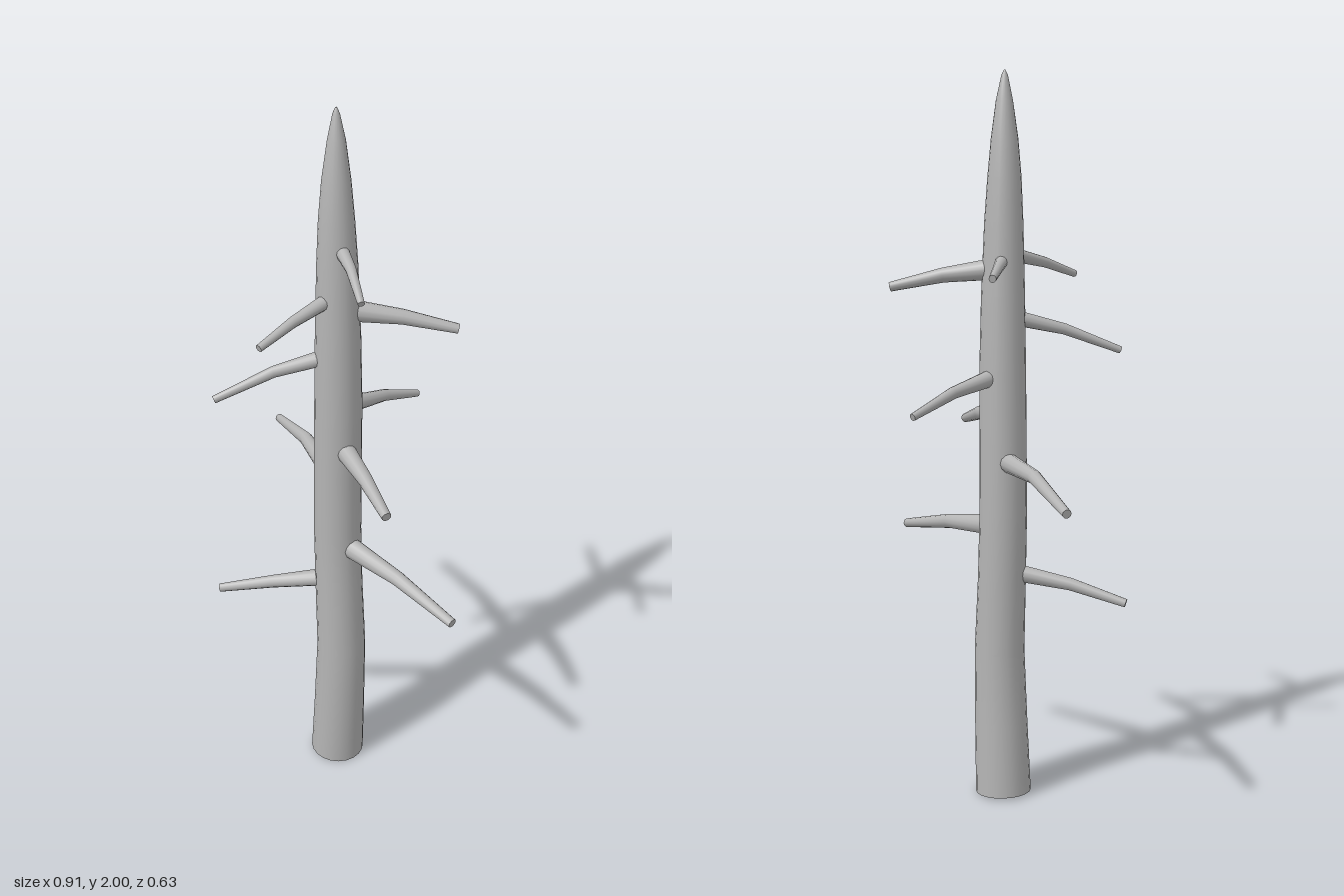
import * as THREE from 'three';

// Tapered limb: rings [x, y, z, radius] skinned smoothly, with flat end caps
function limb(rings, sides, ref, material) {
  const centres = rings.map(([x, y, z]) => new THREE.Vector3(x, y, z));
  const pos = [], idx = [], last = rings.length - 1;
  const addRing = (i) => {
    const dir = centres[Math.min(i + 1, last)].clone().sub(centres[Math.max(i - 1, 0)]).normalize();
    const u = dir.clone().cross(ref).normalize();
    const v = dir.clone().cross(u);
    const start = pos.length / 3;
    for (let j = 0; j < sides; j++) {
      const a = (j / sides) * Math.PI * 2;
      const p = centres[i].clone()
        .addScaledVector(u, Math.cos(a) * rings[i][3])
        .addScaledVector(v, Math.sin(a) * rings[i][3]);
      pos.push(p.x, p.y, p.z);
    }
    return start;
  };
  const starts = rings.map((_, i) => addRing(i));
  for (let i = 0; i < last; i++) {
    for (let j = 0; j < sides; j++) {
      const k = (j + 1) % sides, a = starts[i], b = starts[i + 1];
      idx.push(a + j, a + k, b + k, a + j, b + k, b + j);
    }
  }
  for (const end of [0, last]) {
    const s = addRing(end), c = pos.length / 3;
    pos.push(...centres[end].toArray());
    for (let j = 0; j < sides; j++) {
      const k = (j + 1) % sides;
      if (end) idx.push(c, s + j, s + k);
      else idx.push(c, s + k, s + j);
    }
  }
  const geo = new THREE.BufferGeometry();
  geo.setAttribute('position', new THREE.Float32BufferAttribute(pos, 3));
  geo.setIndex(idx);
  geo.computeVertexNormals();
  return new THREE.Mesh(geo, material);
}

export function createModel() {
  const group = new THREE.Group();
  const bark = new THREE.MeshStandardMaterial({ color: 0xb4b4b4 });
  bark.name = 'grey bark';

  // Slightly crooked trunk running up to a pointed tip
  const trunk = limb([
    [0.018, 0, 0.013, 0.078],
    [0.028, 0.2, 0.013, 0.074],
    [0.036, 0.41, 0.013, 0.07],
    [0.026, 0.62, 0.014, 0.067],
    [0.02, 0.8, 0.014, 0.066],
    [0.022, 1.0, 0.015, 0.065],
    [0.024, 1.2, 0.015, 0.064],
    [0.025, 1.4, 0.017, 0.06],
    [0.023, 1.6, 0.018, 0.053],
    [0.02, 1.72, 0.018, 0.046],
    [0.018, 1.82, 0.017, 0.037],
    [0.016, 1.92, 0.015, 0.023],
    [0.015, 1.985, 0.015, 0.009],
    [0.015, 2, 0.015, 0.002],
  ], 20, new THREE.Vector3(0, 0, 1), bark);
  trunk.name = 'trunk';
  group.add(trunk);

  // Bare branches: base height, bend, tip, base radius, tip radius
  const branches = [
    [0.64, [-0.11, 0.605, 0.15], [-0.23, 0.56, 0.25], 0.027, 0.012],
    [0.765, [0.25, 0.745, -0.01], [0.455, 0.708, -0.025], 0.032, 0.013],
    [0.95, [-0.23, 0.945, -0.07], [-0.453, 0.89, -0.14], 0.029, 0.012],
    [1.085, [0.19, 1.063, 0.06], [0.325, 1.03, 0.1], 0.03, 0.013],
    [1.19, [-0.005, 1.15, -0.17], [-0.027, 1.098, -0.312], 0.026, 0.01],
    [1.35, [-0.06, 1.31, 0.165], [-0.125, 1.25, 0.31], 0.023, 0.01],
    [1.52, [0.035, 1.49, 0.17], [0.045, 1.457, 0.283], 0.021, 0.01],
    [1.477, [0.13, 1.457, -0.11], [0.224, 1.425, -0.22], 0.031, 0.013],
    [1.5, [-0.09, 1.477, -0.085], [-0.168, 1.455, -0.158], 0.019, 0.01],
    [1.652, [0.135, 1.637, 0.065], [0.224, 1.59, 0.106], 0.02, 0.009],
  ];
  branches.forEach(([y, mid, tip, r0, r1], i) => {
    const mesh = limb([
      [0.024, y, 0.015, r0],
      [...mid, r0 * 0.4 + r1 * 0.6],
      [...tip, r1],
    ], 12, new THREE.Vector3(0, 1, 0), bark);
    mesh.name = `branch${i + 1}`;
    group.add(mesh);
  });
  return group;
}
